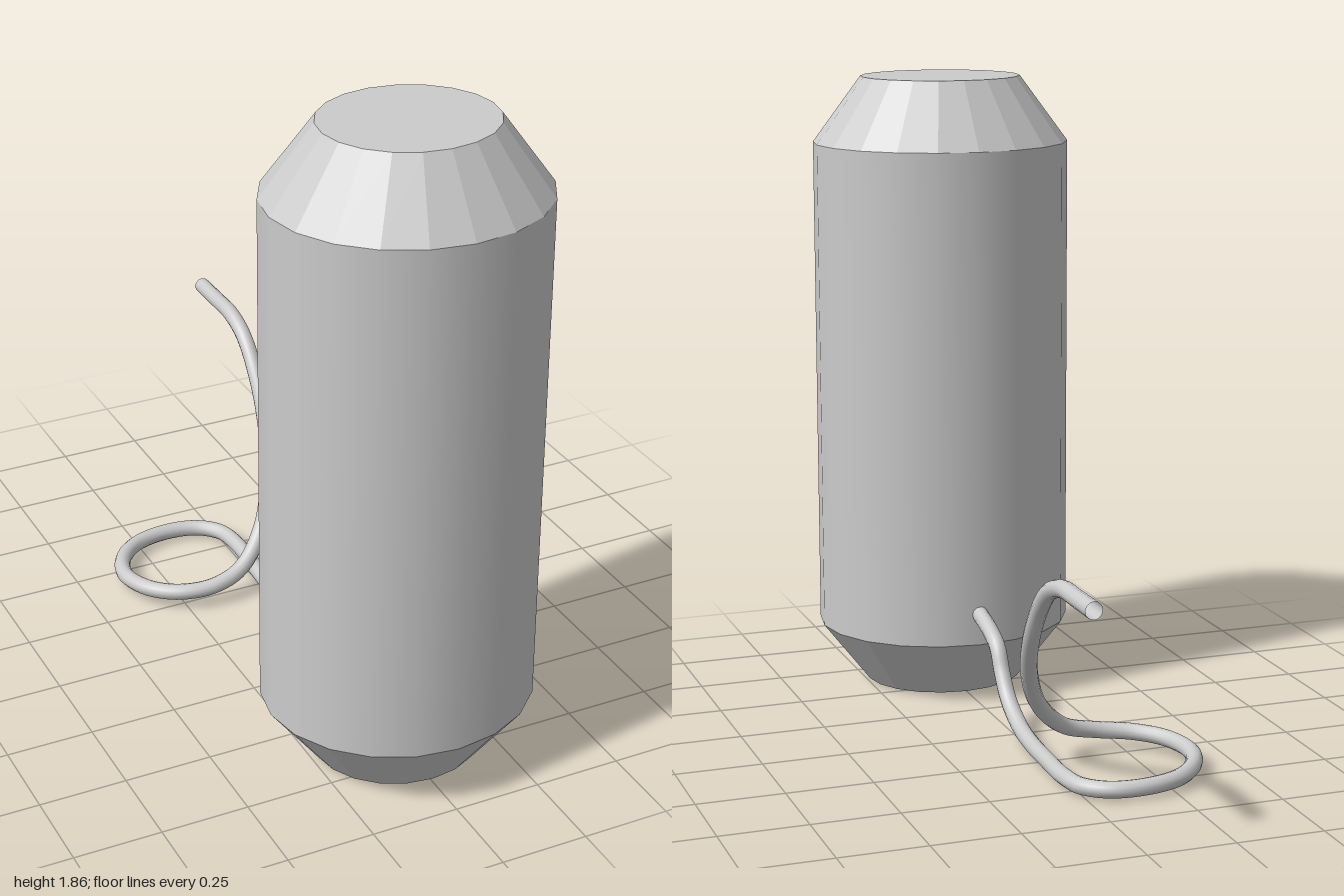
import * as THREE from 'three';

const SIDES = 20;

export function createModel() {
  const model = new THREE.Group();
  const smooth = new THREE.MeshStandardMaterial({ color: 0xcccccc });
  const faceted = new THREE.MeshStandardMaterial({ color: 0xcccccc, flatShading: true });
  const thin = new THREE.MeshStandardMaterial({ color: 0xcccccc, side: THREE.DoubleSide });

  function add(parent, name, geometry, material) {
    const mesh = new THREE.Mesh(geometry, material);
    mesh.name = name;
    parent.add(mesh);
    return mesh;
  }

  // Canister: slightly oval, straight wall between two chamfered ends
  const canister = new THREE.Group();
  canister.name = 'canister';
  canister.position.set(0.005, 0, 0.637);
  canister.scale.z = 0.93;
  model.add(canister);

  const R = 0.383, r = 0.239;
  const levels = [0.015, 0.2, 1.67, 1.865];
  const section = (name, rTop, rBottom, y0, y1, material) => {
    const g = new THREE.CylinderGeometry(rTop, rBottom, y1 - y0, SIDES, 1, true);
    add(canister, name, g.translate(0, (y0 + y1) / 2, 0), material);
  };
  section('lowerChamfer', R, r, levels[0], levels[1], faceted);
  section('wall', R, R, levels[1], levels[2], smooth);
  section('upperChamfer', r, R, levels[2], levels[3], faceted);

  // Flat end discs
  for (const [name, y, turn] of [['topDisc', levels[3], -1], ['bottomDisc', levels[0], 1]]) {
    const disc = new THREE.CircleGeometry(r, SIDES).rotateX(turn * Math.PI / 2);
    add(canister, name, disc.translate(0, y, 0), faceted);
  }

  // Cable: leaves the wall, drops to the ground, loops once and rises to the back
  const path = new THREE.CatmullRomCurve3([
    [0.005, 0.295, 0.29], [0.005, 0.27, 0.2], [0.005, 0.235, 0.13], [0.005, 0.17, 0.09],
    [0.005, 0.105, 0.035], [0.005, 0.055, -0.06], [0.007, 0.036, -0.17], [0.012, 0.034, -0.3],
    [0.017, 0.036, -0.45], [0.0, 0.037, -0.54], [-0.06, 0.038, -0.595], [-0.16, 0.04, -0.61],
    [-0.27, 0.043, -0.58], [-0.345, 0.048, -0.505], [-0.375, 0.052, -0.41],
    [-0.345, 0.058, -0.305], [-0.27, 0.063, -0.235], [-0.17, 0.072, -0.21],
    [-0.07, 0.1, -0.228], [0.03, 0.19, -0.295], [0.1, 0.32, -0.4], [0.138, 0.455, -0.515],
    [0.148, 0.57, -0.61], [0.15, 0.635, -0.685], [0.15, 0.668, -0.78],
    [0.15, 0.67, -0.88], [0.15, 0.67, -1],
  ].map((p) => new THREE.Vector3(...p)));
  add(model, 'cable', new THREE.TubeGeometry(path, 160, 0.024, 12), thin);

  return model;
}
